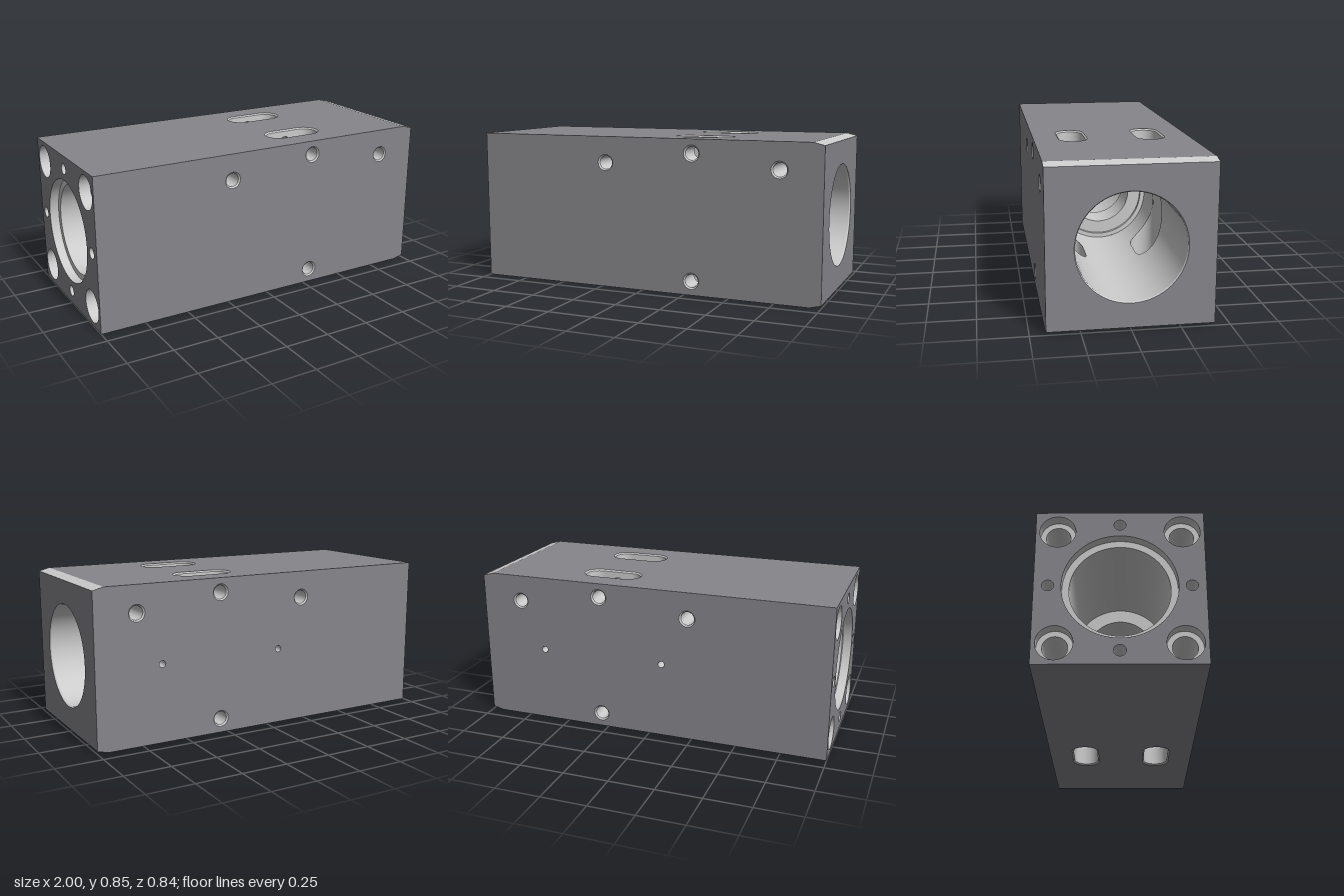
import * as THREE from 'three';

const H = 0.845, C = H / 2, W = 0.42;            // height, axis height, half depth
const R = 0.275, SHOULDER = -0.1;                // main bore and where it ends
const SLOT = { x0: 0.2, x1: 0.38, z: 0.21, r: 0.07 };
const RIM = 0.008;                               // small edge break on holes

const bodyMat = new THREE.MeshStandardMaterial({ color: 0x86868b, side: THREE.DoubleSide });
const cutMat = new THREE.MeshStandardMaterial({ color: 0xcccccc, side: THREE.DoubleSide });

// Planes: map 2D outline points into space
const onX = x => ([u, v]) => [x, v, u];
const onY = y => ([u, v]) => [u, y, v];
const onZ = z => ([u, v]) => [u, v, z];

const range = (a, b, n) => Array.from({ length: n + 1 }, (_, i) => a + (b - a) * i / n);
const circle = (cx, cy, r, n = 40) =>
  range(0, Math.PI * 2, n).map(t => [cx + r * Math.cos(t), cy + r * Math.sin(t)]);
const rect = (a, b, c, d) => [[a, b], [c, b], [c, d], [a, d]];
const slotEnd = (side, s, r) => range(-Math.PI / 2, Math.PI / 2, 16).map(t =>
  [(side > 0 ? SLOT.x1 : SLOT.x0) + side * r * Math.cos(t), s * SLOT.z + side * r * Math.sin(t)]);
const slotOutline = (s, r) => {
  const p = [...slotEnd(1, s, r), ...slotEnd(-1, s, r)];
  return [...p, p[0]];
};

// Flat face with holes
function face(name, outline, holes, map, mat = bodyMat) {
  const vec = p => new THREE.Vector2(p[0], p[1]);
  const shape = new THREE.Shape(outline.map(vec));
  holes.forEach(h => shape.holes.push(new THREE.Path(h.slice(0, -1).map(vec))));
  const geo = new THREE.ShapeGeometry(shape);
  const pos = geo.attributes.position;
  for (let i = 0; i < pos.count; i++) pos.setXYZ(i, ...map([pos.getX(i), pos.getY(i)]));
  geo.computeVertexNormals();
  const mesh = new THREE.Mesh(geo, mat);
  mesh.name = name;
  return mesh;
}

// Ruled wall between two rows of points
function loft(name, a, b) {
  const n = a.length, index = [];
  for (let i = 0; i < n - 1; i++) index.push(i, i + 1, n + i, i + 1, n + i + 1, n + i);
  const geo = new THREE.BufferGeometry();
  geo.setAttribute('position', new THREE.Float32BufferAttribute([...a, ...b].flat(), 3));
  geo.setIndex(index);
  geo.computeVertexNormals();
  const mesh = new THREE.Mesh(geo, cutMat);
  mesh.name = name;
  return mesh;
}

export function createModel() {
  const g = new THREE.Group();
  g.name = 'boredBlock';
  const add = (...m) => g.add(...m);

  const pins = [[-0.22, 0.7], [0.77, 0.7], [0.29, C + 0.345], [0.29, C - 0.345]];
  const pinR = 0.037;
  const ports = [[-0.073, C], [0.633, C]];
  const corners = [[1, 1], [1, -1], [-1, 1], [-1, -1]].map(([a, b]) => [a * 0.31, C + b * 0.31]);
  const taps = [[0.35, C], [-0.35, C], [0, C + 0.35], [0, C - 0.35]];

  // Outer faces
  const side = [[-1, 0], [0.94, 0], [1, 0.015], [1, H - 0.015], [0.94, H], [-1, H]];
  const pinRims = pins.map(([x, y]) => circle(x, y, pinR + RIM));
  add(face('frontFace', side, pinRims, onZ(W)));
  add(face('backFace', side, [...pinRims, ...ports.map(([x, y]) => circle(x, y, 0.018))], onZ(-W)));
  const slotRims = [1, -1].map(s => slotOutline(s, SLOT.r + RIM));
  add(face('topFace', rect(-1, -W, 0.94, W), slotRims, onY(H)));
  add(face('bottomFace', rect(-1, -W, 0.94, W), slotRims, onY(0)));
  add(face('leftEndFace', rect(-W, 0.015, W, H - 0.015), [circle(0, C, 0.28, 96)], onX(1)));
  add(face('rightEndFace', rect(-W, 0, W, H), [
    circle(0, C, 0.285, 96),
    ...corners.map(([z, y]) => circle(z, y, 0.09)),
    ...taps.map(([z, y]) => circle(z, y, 0.03)),
  ], onX(-1)));
  for (const [y0, y1] of [[H, H - 0.015], [0, 0.015]])
    add(loft('endChamfer', [[0.94, y0, -W], [0.94, y0, W]], [[1, y1, -W], [1, y1, W]]));

  // Stepped bore on the right half: [x, radius] stations
  const steps = [[-1, 0.285], [-0.95, 0.285], [-0.95, 0.25], [-0.3, 0.25], [-0.3, 0.178],
    [SHOULDER, 0.178], [SHOULDER, 0.25], [SHOULDER + 0.02, 0.25], [SHOULDER + 0.02, R]];
  const ring = ([x, r]) => circle(0, C, r, 96).map(onX(x));
  for (let i = 0; i < steps.length - 1; i++) add(loft('steppedBore', ring(steps[i]), ring(steps[i + 1])));
  add(loft('boreChamfer', ring([1 - RIM, R]), ring([1, 0.28])));

  // Main bore, cut by the two slots and grazed by one cross hole
  const t0 = Math.asin((SLOT.z - SLOT.r) / R);
  const bore = (a, b, from, to) => {
    const angles = range(a, b, 40);
    const row = xAt => angles.map(t => [xAt(t), C + R * Math.cos(t), R * Math.sin(t)]);
    add(loft('mainBore', row(from), row(to)));
  };
  const start = () => SHOULDER + 0.02, end = () => 1 - RIM;
  const groove = t => Math.sqrt(Math.max(0, pinR ** 2 - (C + R * Math.cos(t) - 0.7) ** 2));
  const bulge = t => Math.sqrt(Math.max(0, SLOT.r ** 2 - (Math.abs(R * Math.sin(t)) - SLOT.z) ** 2));
  bore(-t0, t0, start, t => 0.77 - groove(t));
  bore(-t0, t0, t => 0.77 + groove(t), end);
  bore(Math.PI - t0, Math.PI + t0, start, end);
  for (const a of [t0, Math.PI + t0]) {
    const b = a + Math.PI - 2 * t0;
    bore(a, b, start, t => SLOT.x0 - bulge(t));
    bore(a, b, t => SLOT.x1 + bulge(t), end);
  }

  // Slots through top and bottom
  const boreY = z => Math.sqrt(Math.max(0, R * R - z * z));
  for (const s of [1, -1]) {
    for (const v of [1, -1]) {
      const yTop = C + v * (C - RIM);
      add(loft('slotRim', slotOutline(s, SLOT.r).map(onY(yTop)),
        slotOutline(s, SLOT.r + RIM).map(onY(C + v * C))));
      for (const e of [1, -1]) {
        const arc = slotEnd(e, s, SLOT.r);
        add(loft('slotEnd', arc.map(onY(yTop)), arc.map(([x, z]) => [x, C + v * boreY(z), z])));
      }
      for (const z of [SLOT.z - SLOT.r, SLOT.z + SLOT.r])
        add(face('slotWall', rect(SLOT.x0, C + v * boreY(z), SLOT.x1, yTop),
          [circle(0.29, C + v * 0.345, pinR)], onZ(s * z), cutMat));
    }
  }

  // Cross holes from front to back
  pins.forEach(([x, y], i) => {
    const c = circle(x, y, pinR);
    for (const s of [1, -1]) {
      const wall = (from, to) => add(loft('crossHole',
        c.map(p => [...p, s * from(p)]), c.map(p => [...p, s * to])));
      if (i === 1) wall(p => Math.sqrt(Math.max(0, R * R - (p[1] - C) ** 2)), W - RIM);
      else if (i === 0) wall(() => 0, W - RIM);
      else {
        wall(() => 0, SLOT.z - SLOT.r);
        wall(() => SLOT.z + SLOT.r, W - RIM);
      }
      add(loft('crossHoleRim', c.map(onZ(s * (W - RIM))), circle(x, y, pinR + RIM).map(onZ(s * W))));
    }
  });

  // Blind holes: [depth, radius] stations, closed by a disc
  const blind = (name, [u, v], stations, plane) => {
    for (let i = 0; i < stations.length - 1; i++) {
      const [d0, r0] = stations[i], [d1, r1] = stations[i + 1];
      add(loft(name, circle(u, v, r0).map(plane(d0)), circle(u, v, r1).map(plane(d1))));
    }
    const [d, r] = stations[stations.length - 1];
    add(face(name + 'Floor', circle(u, v, r).slice(0, -1), [], plane(d), cutMat));
  };
  ports.forEach(p => blind('backPort', p, [[0, 0.018], [0.14, 0.018]], d => onZ(d - W)));
  corners.forEach(p => blind('cornerBoltHole', p,
    [[0, 0.09], [0.06, 0.09], [0.06, 0.062], [0.4, 0.062]], d => onX(d - 1)));
  taps.forEach(p => blind('tappedHole', p, [[0, 0.03], [0.2, 0.03]], d => onX(d - 1)));
  return g;
}
